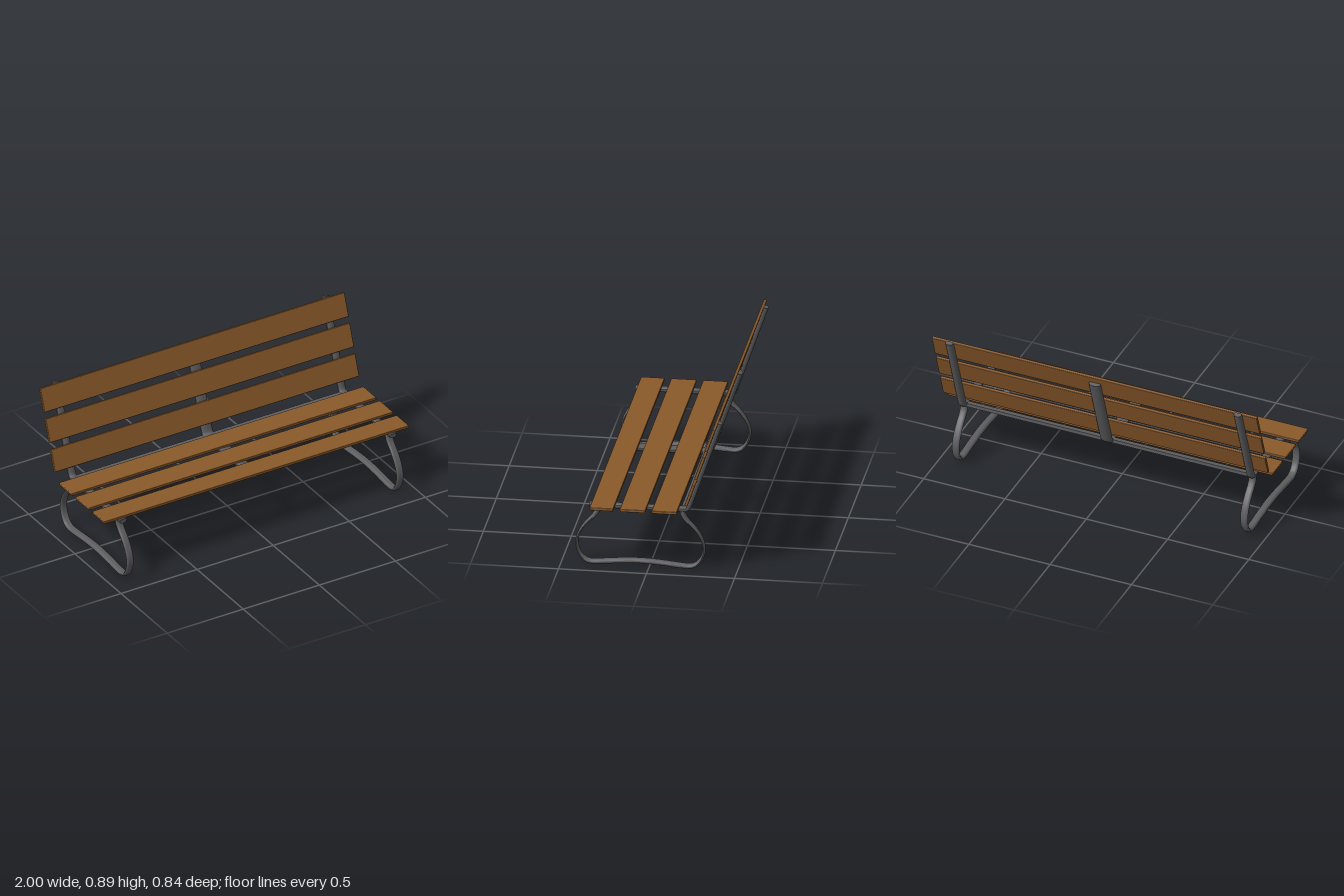
import * as THREE from 'three';
import { toCreasedNormals } from 'three/addons/utils/BufferGeometryUtils.js';
import { RoundedBoxGeometry } from 'three/addons/geometries/RoundedBoxGeometry.js';

// Cross-sections as [across x, along the path normal], counter-clockwise, unit size
const ovalSection = Array.from({ length: 16 }, (_, i) => {
  const a = (i / 16) * Math.PI * 2;
  return [0.5 * Math.cos(a), 0.5 * Math.sin(a)];
});
const halfRoundSection = [[0.5, 0.4], [0.45, 0.5], [-0.45, 0.5], [-0.5, 0.4]];
for (let i = 0; i <= 8; i++) {
  const a = Math.PI + (i / 8) * Math.PI;
  halfRoundSection.push([0.5 * Math.cos(a), 0.1 + 0.6 * Math.sin(a)]);
}

// Sweeps a section along points holding (z, y, thickness)
function sweep(points, section, width) {
  const n = section.length;
  const pos = [];
  const index = [];
  points.forEach((p, i) => {
    const a = points[Math.max(i - 1, 0)];
    const b = points[Math.min(i + 1, points.length - 1)];
    const t = new THREE.Vector2(b.x - a.x, b.y - a.y).normalize();
    for (const [u, v] of section) {
      pos.push(u * width, p.y - t.x * v * p.z, p.x + t.y * v * p.z);
    }
  });
  for (let i = 0; i < points.length - 1; i++) {
    for (let j = 0; j < n; j++) {
      const a = i * n + j, b = i * n + ((j + 1) % n);
      index.push(a, a + n, b, b, a + n, b + n);
    }
  }
  const last = (points.length - 1) * n;
  for (let j = 1; j < n - 1; j++) {
    index.push(0, j, j + 1, last, last + j + 1, last + j);
  }
  const geo = new THREE.BufferGeometry();
  geo.setAttribute('position', new THREE.Float32BufferAttribute(pos, 3));
  geo.setIndex(index);
  return toCreasedNormals(geo, 0.7);
}

export function createModel() {
  const bench = new THREE.Group();
  bench.name = 'bench';
  const wood = new THREE.MeshStandardMaterial({ color: 0x8b5a2b });
  wood.name = 'brown wood';
  const metal = new THREE.MeshStandardMaterial({ color: 0x5e5e60 });
  metal.name = 'grey metal';

  function add(name, geo, mat, x = 0, y = 0, z = 0, tilt = 0) {
    const mesh = new THREE.Mesh(geo, mat);
    mesh.name = name;
    mesh.position.set(x, y, z);
    mesh.rotation.x = tilt;
    bench.add(mesh);
  }

  // Seat slats: centre z, depth
  [[0.257, 0.134], [0.08, 0.145], [-0.1, 0.142]].forEach(([z, depth], i) => {
    add(`seatSlat${i + 1}`, new RoundedBoxGeometry(2, 0.017, depth, 2, 0.004), wood, 0, 0.375, z);
  });

  // Back slats: centre y, centre z, height
  const lean = -0.334;
  [[0.487, -0.245, 0.134], [0.655, -0.302, 0.142], [0.825, -0.36, 0.142]].forEach(([y, z, h], i) => {
    add(`backSlat${i + 1}`, new RoundedBoxGeometry(2, h, 0.018, 2, 0.004), wood, 0, y, z, lean);
  });

  // Seat rail bending up into the back post
  const support = (front, top, topZ) => sweep([
    [front, 0.358], [-0.195, 0.358], [-0.211, 0.36], [-0.222, 0.37], [-0.23, 0.388], [topZ, top],
  ].map(([z, y]) => new THREE.Vector3(z, y, 0.027)), halfRoundSection, 1);

  // Looped leg: one half, then its mirror about z = 0.05
  const half = [
    [0.288, 0.352, 0.034], [0.296, 0.323, 0.031], [0.316, 0.293, 0.026], [0.352, 0.256, 0.021],
    [0.386, 0.21, 0.018], [0.407, 0.16, 0.017], [0.41, 0.115, 0.018], [0.397, 0.068, 0.02],
    [0.37, 0.033, 0.025], [0.335, 0.018, 0.028], [0.29, 0.0185, 0.03], [0.16, 0.03, 0.031],
  ];
  const legPoints = [
    ...half,
    [0.05, 0.035, 0.031],
    ...half.slice().reverse().map(([z, y, t]) => [0.1 - z, y, t]),
  ].map((p) => new THREE.Vector3(...p));
  const legPath = new THREE.CatmullRomCurve3(legPoints).getPoints(96);
  const legGeo = sweep(legPath, ovalSection, 0.046);

  const sideSupport = support(0.338, 0.892, -0.404);
  sideSupport.scale(0.046, 1, 1);
  for (const [side, x] of [['left', 0.887], ['right', -0.887]]) {
    add(`${side}Support`, sideSupport, metal, x);
    add(`${side}Leg`, legGeo, metal, x);
  }

  // Wider, slightly shorter middle support
  const middle = support(0.3, 0.847, -0.389);
  middle.scale(0.07, 1, 1);
  add('middleSupport', middle, metal);

  // Cross beam joining the supports under the back
  add('crossBeam', new THREE.BoxGeometry(1.76, 0.022, 0.028), metal, 0, 0.359, -0.195);

  return bench;
}
